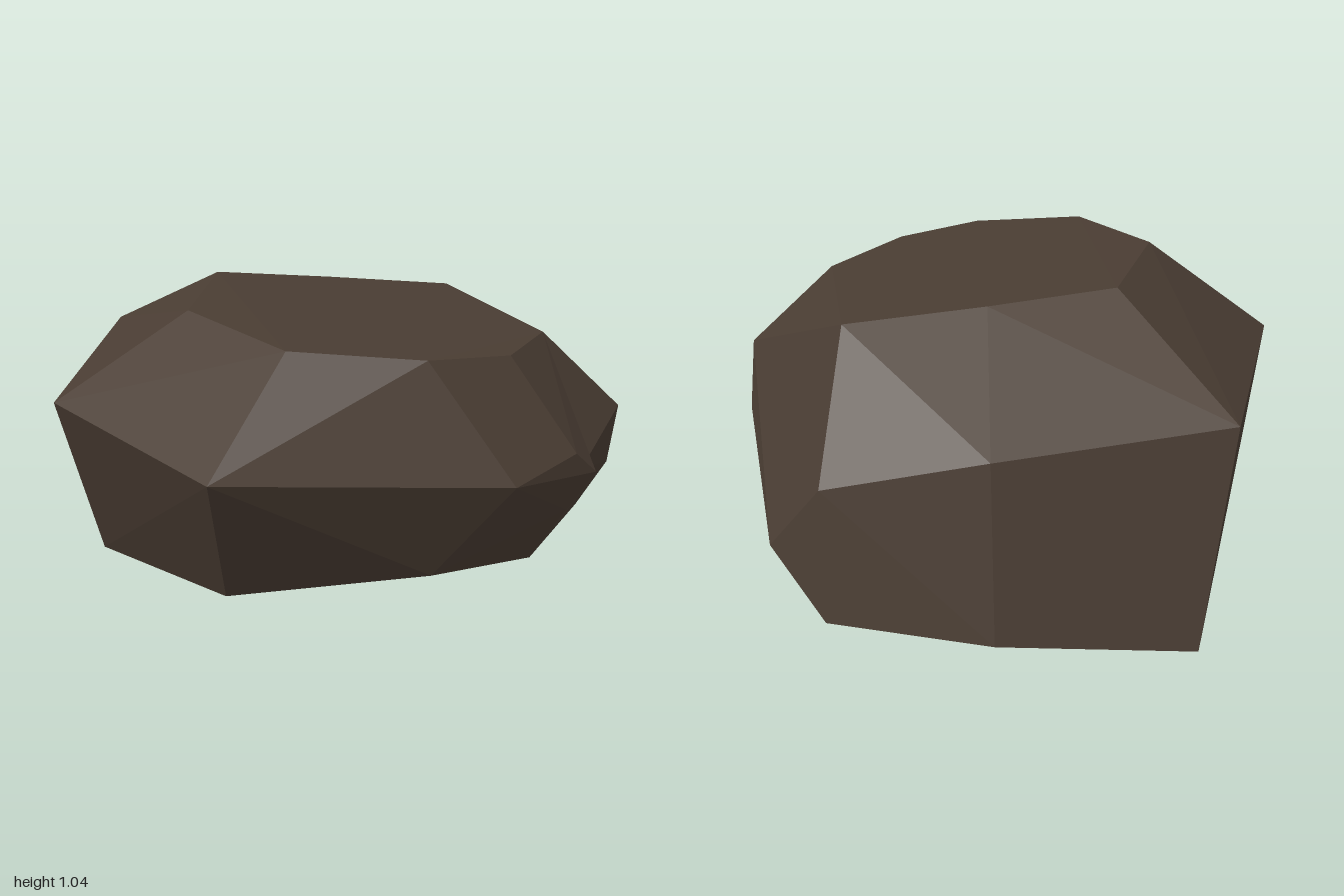
import * as THREE from 'three';
import { ConvexGeometry } from 'three/addons/geometries/ConvexGeometry.js';

const vectors = (list) => list.map(([x, y, z]) => new THREE.Vector3(x, y, z));

export function createModel() {
  const stone = new THREE.MeshStandardMaterial({ color: 0x4a3d33 });
  stone.name = 'darkBrownStone';
  stone.flatShading = true;

  // Corners where the main block and the front shoulder meet (a shallow notch)
  const seam = [
    [0.39, 0.46, 0.81], [0.34, 0.905, 0.66], [0.14, 0.212, 0.785],
    [0.605, 0.95, 0.065], [0.84, 0.55, -0.18], [0.935, 0.28, 0.02],
    [0.88, 0.11, -0.24], [0.6, 0.005, -0.18], [0.45, 0.06, 0.42],
  ];
  // Top facet rim
  const crown = [
    [0.215, 0.998, -0.17], [-0.15, 1.04, -0.36], [-0.565, 1.015, -0.035],
    [-0.615, 0.975, 0.435], [-0.32, 0.94, 0.705], [-0.02, 0.913, 0.78],
  ];
  // Widest ring: back, right side, then the front nose
  const girdle = [
    [0.485, 0.72, -0.585], [-0.15, 0.795, -0.93], [-0.87, 0.725, -0.335],
    [-0.94, 0.67, 0.46], [-0.22, 0.595, 0.955], [0.045, 0.638, 0.985],
    [0.14, 0.56, 1.0], [0.095, 0.432, 0.932],
  ];
  // Lower ring and underside
  const base = [
    [0.54, 0.15, -0.68], [0.01, 0.1, -1.0], [-0.61, 0.11, -0.48],
    [-0.705, 0.2, 0.26], [-0.295, 0.275, 0.72],
    [0.42, 0, -0.47], [0.05, 0, -0.65], [-0.335, 0.005, -0.32], [0.15, 0.065, 0.475],
  ];
  // Shoulder at the front left
  const shoulder = [[0.61, 0.627, 0.805], [0.67, 0.395, 0.745], [0.685, 0.195, 0.625]];

  const rock = new THREE.Group();
  rock.name = 'rock';
  const parts = {
    mainBlock: [...seam, ...crown, ...girdle, ...base],
    frontShoulder: [...seam, ...shoulder],
  };
  for (const [name, corners] of Object.entries(parts)) {
    const mesh = new THREE.Mesh(new ConvexGeometry(vectors(corners)), stone);
    mesh.name = name;
    rock.add(mesh);
  }
  return rock;
}
